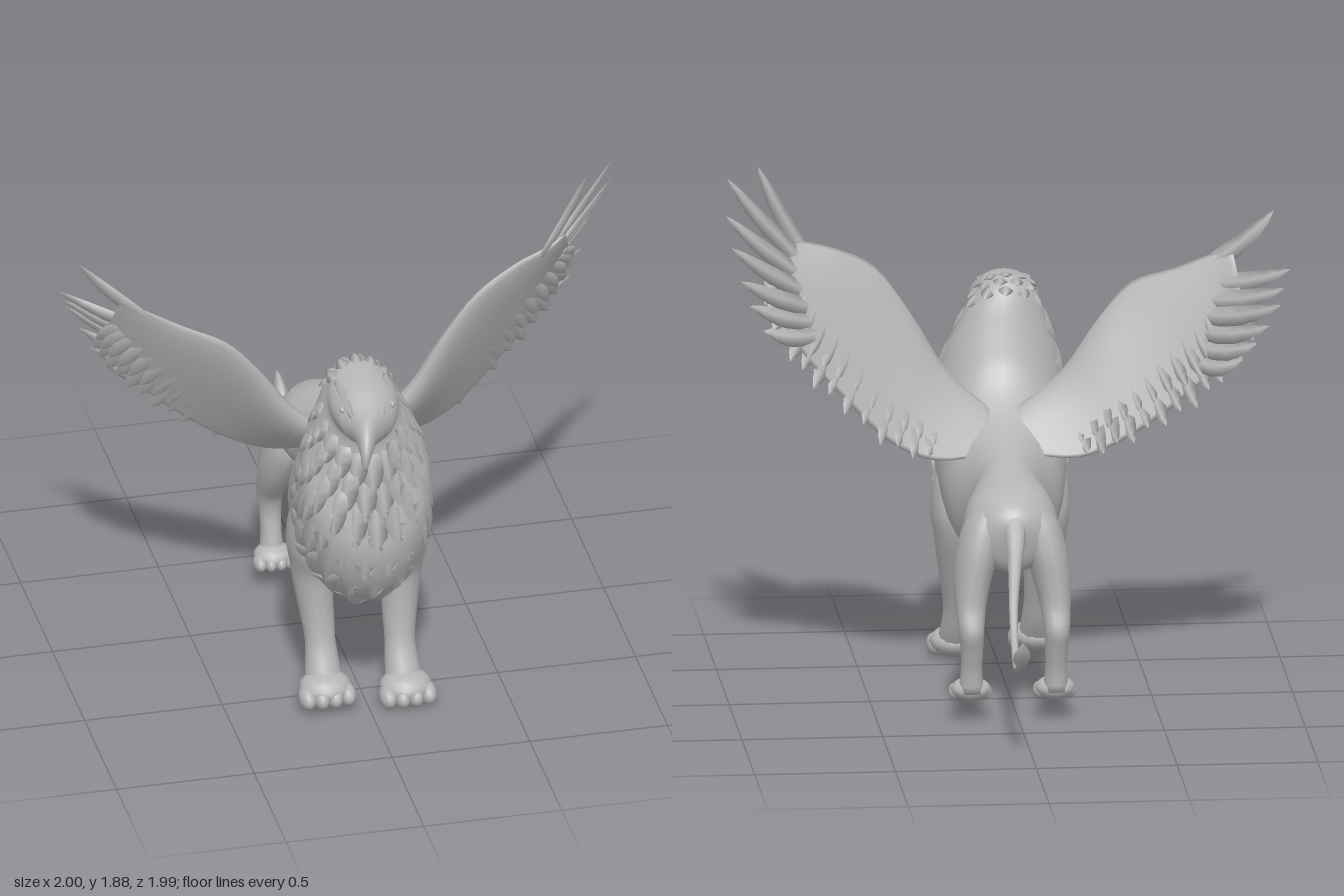
import * as THREE from 'three';

const stone = new THREE.MeshStandardMaterial({ color: 0xb6b6b6 });
stone.name = 'stone grey';
const V = (x, y, z) => new THREE.Vector3(x, y, z);

// Skin a list of equal-sized rings, close both ends, and make the faces point outwards
function loft(rings) {
  const n = rings[0].length, pos = [], idx = [];
  rings.forEach(r => r.forEach(p => pos.push(p.x, p.y, p.z)));
  for (let i = 0; i < rings.length - 1; i++) {
    for (let j = 0; j < n; j++) {
      const a = i * n + j, b = i * n + (j + 1) % n;
      idx.push(a, b, a + n, b, b + n, a + n);
    }
  }
  [0, rings.length - 1].forEach((i, end) => {
    const c = V(0, 0, 0);
    rings[i].forEach(p => c.addScaledVector(p, 1 / n));
    const k = pos.length / 3;
    pos.push(c.x, c.y, c.z);
    for (let j = 0; j < n; j++) {
      const a = i * n + j, b = i * n + (j + 1) % n;
      end ? idx.push(a, b, k) : idx.push(b, a, k);
    }
  });
  const at = i => V(pos[3 * i], pos[3 * i + 1], pos[3 * i + 2]);
  let volume = 0;
  for (let i = 0; i < idx.length; i += 3) volume += at(idx[i]).dot(at(idx[i + 1]).cross(at(idx[i + 2])));
  if (volume < 0) idx.reverse();
  const g = new THREE.BufferGeometry();
  g.setAttribute('position', new THREE.Float32BufferAttribute(pos, 3));
  g.setIndex(idx);
  g.computeVertexNormals();
  return g;
}

function add(parent, geometry, name) {
  const m = new THREE.Mesh(geometry, stone);
  m.name = name;
  parent.add(m);
  return m;
}

function group(parent, name) {
  const g = new THREE.Group();
  g.name = name;
  parent.add(g);
  return g;
}

// Flat leaf-shaped feather from base to tip, facing along normal, bowed sideways by bend
function feather(base, tip, normal, width, thick, bend = 0) {
  const dir = tip.clone().sub(base);
  const side = dir.clone().cross(normal).normalize();
  const up = side.clone().cross(dir).normalize();
  return loft([[0, 0.7], [0.25, 1], [0.5, 1], [0.7, 0.8], [0.87, 0.48], [1, 0.03]].map(([t, w]) => {
    const c = base.clone().addScaledVector(dir, t).addScaledVector(side, bend * Math.sin(t * Math.PI));
    return [[1, 0], [0, 1], [-1, 0], [0, -1]].map(([a, b]) =>
      c.clone().addScaledVector(side, a * width * w).addScaledVector(up, b * thick * w));
  }));
}

// Rows are [x, y, z, radius x, radius z], swept through smoothly
function limb(rows, steps = 28) {
  const centre = new THREE.CatmullRomCurve3(rows.map(r => V(r[0], r[1], r[2])));
  const size = new THREE.CatmullRomCurve3(rows.map(r => V(r[3], 0, r[4])));
  const rings = [];
  for (let i = 0; i <= steps; i++) {
    const c = centre.getPoint(i / steps), s = size.getPoint(i / steps);
    rings.push(Array.from({ length: 14 }, (_, j) => {
      const a = j / 14 * Math.PI * 2;
      return V(c.x + s.x * Math.cos(a), c.y, c.z + s.z * Math.sin(a));
    }));
  }
  return loft(rings);
}

function ball(parent, name, x, y, z, rx, ry, rz) {
  const m = add(parent, new THREE.SphereGeometry(1, 14, 10), name);
  m.position.set(x, y, z);
  m.scale.set(rx, ry, rz);
}

// Body stations from rump to beak: centre x, top y z, bottom y z, half width
const STATIONS = [
  [.02, .73, -.385, .64, -.37, .03], [.02, .785, -.345, .55, -.33, .11], [.02, .83, -.24, .53, -.22, .165],
  [.015, .85, -.12, .555, -.1, .155], [.01, .875, 0, .555, 0, .125], [.005, .9, .12, .47, .1, .155],
  [0, .94, .25, .425, .22, .2], [-.005, 1.02, .36, .42, .4, .225], [-.01, 1.1, .42, .43, .62, .235],
  [-.012, 1.18, .45, .55, .775, .24], [-.015, 1.24, .47, .74, .845, .228], [-.02, 1.3, .49, .93, .815, .188],
  [-.03, 1.36, .52, 1.09, .785, .148], [-.035, 1.395, .57, 1.165, .785, .125], [-.035, 1.395, .65, 1.185, .8, .122],
  [-.04, 1.375, .76, 1.185, .825, .102], [-.05, 1.34, .84, 1.195, .855, .068], [-.068, 1.315, .91, 1.2, .9, .038],
  [-.08, 1.275, .96, 1.19, .94, .024], [-.088, 1.225, .985, 1.172, .958, .014], [-.09, 1.18, .982, 1.162, .97, .006]];
const topLine = new THREE.CatmullRomCurve3(STATIONS.map(s => V(s[0], s[1], s[2])));
const bottomLine = new THREE.CatmullRomCurve3(STATIONS.map(s => V(s[5], s[3], s[4])));

function bodyPoint(s, a, grow = 0) {
  const u = s / (STATIONS.length - 1);
  const t = topLine.getPoint(u), b = bottomLine.getPoint(u);
  const c = V(t.x, (t.y + b.y) / 2, (t.z + b.z) / 2);
  const out = V(b.x * Math.sin(a), (t.y - c.y) * Math.cos(a), (t.z - c.z) * Math.cos(a));
  const p = c.clone().add(out).addScaledVector(out.clone().normalize(), grow);
  return { p, out: out.normalize() };
}

function buildBody(root) {
  const rings = [];
  for (let i = 0; i <= 80; i++) {
    rings.push(Array.from({ length: 28 }, (_, j) => bodyPoint(i / 4, j / 28 * Math.PI * 2).p));
  }
  add(root, loft(rings), 'bodyNeckAndHead');

  // Soft overlapping feathers on the chest and neck
  const mane = group(root, 'maneFeathers');
  for (let k = 0; k < 7; k++) {
    const s = 8.5 + k * 0.62;
    for (let j = 0; j < 11; j++) {
      const a = Math.PI + (j - 5 + (k % 2) * 0.5) * 0.36;
      const from = bodyPoint(s, a, -0.008), to = bodyPoint(s - 0.9, a, 0.003 + 0.005 * ((j * 7 + k * 3) % 3));
      add(mane, feather(from.p, to.p, from.out, 0.045, 0.009), 'maneFeather');
    }
  }
  // Ragged crest at the back of the head
  for (let k = 0; k < 3; k++) {
    for (let j = -2; j <= 2; j++) {
      const a = j * 0.42 + (k % 2) * 0.15;
      const from = bodyPoint(13.6 - k * 0.65, a, -0.01), to = bodyPoint(12.8 - k * 0.65, a, 0.014);
      add(mane, feather(from.p, to.p, from.out, 0.026, 0.01), 'crestFeather');
    }
  }
  // Eyes under brow ridges
  for (const side of [-1, 1]) {
    const e = bodyPoint(15.1, side * 1.15).p;
    ball(root, 'eye', e.x, e.y, e.z, .01, .012, .016);
    const from = bodyPoint(13.9, side * 0.8, 0.002), to = bodyPoint(16.2, side * 0.95, 0.004);
    add(root, feather(from.p, to.p, from.out, 0.022, 0.012), 'brow');
  }
  add(root, feather(V(.01, .58, 0), V(.01, .48, -.06), V(0, .5, -1), .02, .026), 'bellyTuft');
}

function buildLegs(root) {
  for (const side of [1, -1]) {
    const front = group(root, side > 0 ? 'leftFrontLeg' : 'rightFrontLeg');
    front.position.set(side > 0 ? 0 : -.008, side > 0 ? 0 : .02, side > 0 ? .01 : -.01);
    add(front, limb([
      [.12, .82, .46, .04, .07], [.15, .7, .465, .08, .125], [.158, .58, .455, .086, .145], [.155, .48, .445, .076, .115],
      [.15, .38, .465, .068, .088], [.142, .28, .49, .06, .07], [.138, .2, .515, .055, .062],
      [.138, .12, .55, .062, .065], [.14, .05, .585, .07, .06]].map(r => [r[0] * side, ...r.slice(1)])), 'frontLeg');
    paw(front, .14 * side, .052, .6, 1);
    const hind = group(root, side > 0 ? 'leftHindLeg' : 'rightHindLeg');
    hind.position.x = .02;
    add(hind, limb([
      [.06, .8, -.24, .03, .05], [.095, .71, -.24, .07, .11], [.12, .61, -.245, .076, .13], [.14, .51, -.27, .068, .11],
      [.15, .42, -.305, .055, .083], [.152, .34, -.352, .046, .066], [.15, .27, -.35, .04, .048],
      [.15, .2, -.335, .038, .044], [.15, .11, -.32, .045, .05]].map(r => [r[0] * side, ...r.slice(1)])), 'hindLeg');
    paw(hind, .15 * side, .11, -.3, .75);
  }
}

// Broad paw with four low toes
function paw(parent, x, y, z, k) {
  ball(parent, 'paw', x, y + .008 * k, z, .094 * k, .056 * k, .088 * k);
  for (let i = 0; i < 4; i++) {
    const o = i - 1.5;
    ball(parent, 'toe', x + o * .048 * k, y - .012 * k, z + (.046 - Math.abs(o) * .008) * k, .031 * k, .04 * k, .058 * k);
  }
}

function buildTail(root) {
  const path = new THREE.CatmullRomCurve3([
    V(.02, .73, -.33), V(.02, .675, -.405), V(.03, .57, -.475), V(.04, .45, -.55), V(.045, .36, -.65),
    V(.05, .315, -.77), V(.05, .335, -.87), V(.045, .38, -.93)]);
  const g = new THREE.TubeGeometry(path, 40, 1, 10);
  const p = g.attributes.position, v = V(0, 0, 0);
  for (let i = 0; i < p.count; i++) {
    const t = Math.floor(i / 11) / 40, c = path.getPointAt(t);
    v.fromBufferAttribute(p, i).sub(c).multiplyScalar(.012 + .035 * (1 - t) ** 4).add(c);
    p.setXYZ(i, v.x, v.y, v.z);
  }
  g.computeVertexNormals();
  add(root, g, 'tail');
  add(root, feather(V(.045, .35, -.88), V(.045, .45, -1), V(1, 0, 0), .034, .03), 'tailTuft');
}

// stations: lead x y z, trail x y z, thickness; tips: ends of the long feathers
function buildWing(root, name, stations, tips, bases) {
  const wing = group(root, name);
  const side = Math.sign(tips[0][0]);
  const lead = new THREE.CatmullRomCurve3(stations.map(s => V(s[0], s[1], s[2])));
  const trail = new THREE.CatmullRomCurve3(stations.map(s => V(s[3], s[4], s[5])));
  const thick = [.06, .06, .05, .04, .03, .02, .01];
  const frame = u => {
    const a = lead.getPoint(u), b = trail.getPoint(u), chord = b.clone().sub(a), span = lead.getTangent(u);
    return { a, b, chord, span, normal: chord.clone().cross(span).normalize().multiplyScalar(side) };
  };
  const rings = [];
  for (let i = 0; i <= 24; i++) {
    const u = i / 24, f = frame(u), k = Math.min(5, Math.floor(u * 6));
    const th = THREE.MathUtils.lerp(thick[k], thick[k + 1], u * 6 - k);
    rings.push(Array.from({ length: 16 }, (_, j) => {
      const a = j / 16 * Math.PI * 2, t = (1 - Math.cos(a)) / 2;
      return f.a.clone().addScaledVector(f.chord, t).addScaledVector(f.normal, th * Math.sin(a) * (1 - .85 * t));
    }));
  }
  add(wing, loft(rings), 'wingArm');

  // Edge feathers, with a shorter covering row on each face
  for (let row = -1; row <= 1; row++) {
    for (let i = 0; i < 14; i++) {
      const f = frame(.17 + i * .058 + row * .012);
      const base = f.a.clone().addScaledVector(f.chord, row ? .5 : .6).addScaledVector(f.normal, row * .008);
      const tip = f.b.clone().addScaledVector(f.chord, row ? -.08 : .05 + .05 * (i % 2))
        .addScaledVector(f.span, .04).addScaledVector(f.normal, row * .006);
      add(wing, feather(base, tip, f.normal, row ? .03 : .036, .009), row ? 'coverFeather' : 'edgeFeather');
    }
  }
  // Long feathers fanned at the tip, curling upwards
  tips.forEach((t, i) => {
    const base = V(...bases[0]).lerp(V(...bases[1]), i / (tips.length - 1));
    add(wing, feather(base, V(...t), frame(.9).normal, .036, .01, .018 * side), 'longFeather');
  });
}

export function createModel() {
  const root = new THREE.Group();
  root.name = 'wingedBeast';
  buildBody(root);
  buildLegs(root);
  buildTail(root);
  buildWing(root, 'leftWing', [
    [.04, .95, .36, .04, .84, .22], [.21, 1.12, .38, .25, .83, .17], [.33, 1.33, .39, .41, .9, .16],
    [.45, 1.49, .39, .58, 1.07, .15], [.6, 1.57, .35, .71, 1.22, .14], [.73, 1.61, .32, .8, 1.37, .13],
    [.79, 1.64, .3, .84, 1.48, .15]],
  [[.87, 1.88, .31], [.99, 1.87, .2], [1, 1.75, .13], [.985, 1.65, .06], [.955, 1.54, .01], [.92, 1.44, .05], [.87, 1.34, .08]],
  [[.7, 1.57, .32], [.68, 1.3, .18]]);
  buildWing(root, 'rightWing', [
    [-.04, .95, .36, -.04, .84, .22], [-.22, 1.1, .38, -.26, .83, .17], [-.35, 1.29, .39, -.41, .89, .16],
    [-.46, 1.41, .39, -.56, .99, .15], [-.61, 1.47, .34, -.7, 1.11, .14], [-.74, 1.53, .3, -.8, 1.22, .12],
    [-.81, 1.56, .27, -.85, 1.33, .11]],
  [[-.955, 1.7, .23], [-1, 1.52, .09], [-.975, 1.46, .05], [-.96, 1.41, .01], [-.92, 1.33, .03], [-.88, 1.26, .06], [-.83, 1.2, .08]],
  [[-.71, 1.48, .3], [-.68, 1.16, .17]]);
  return root;
}
